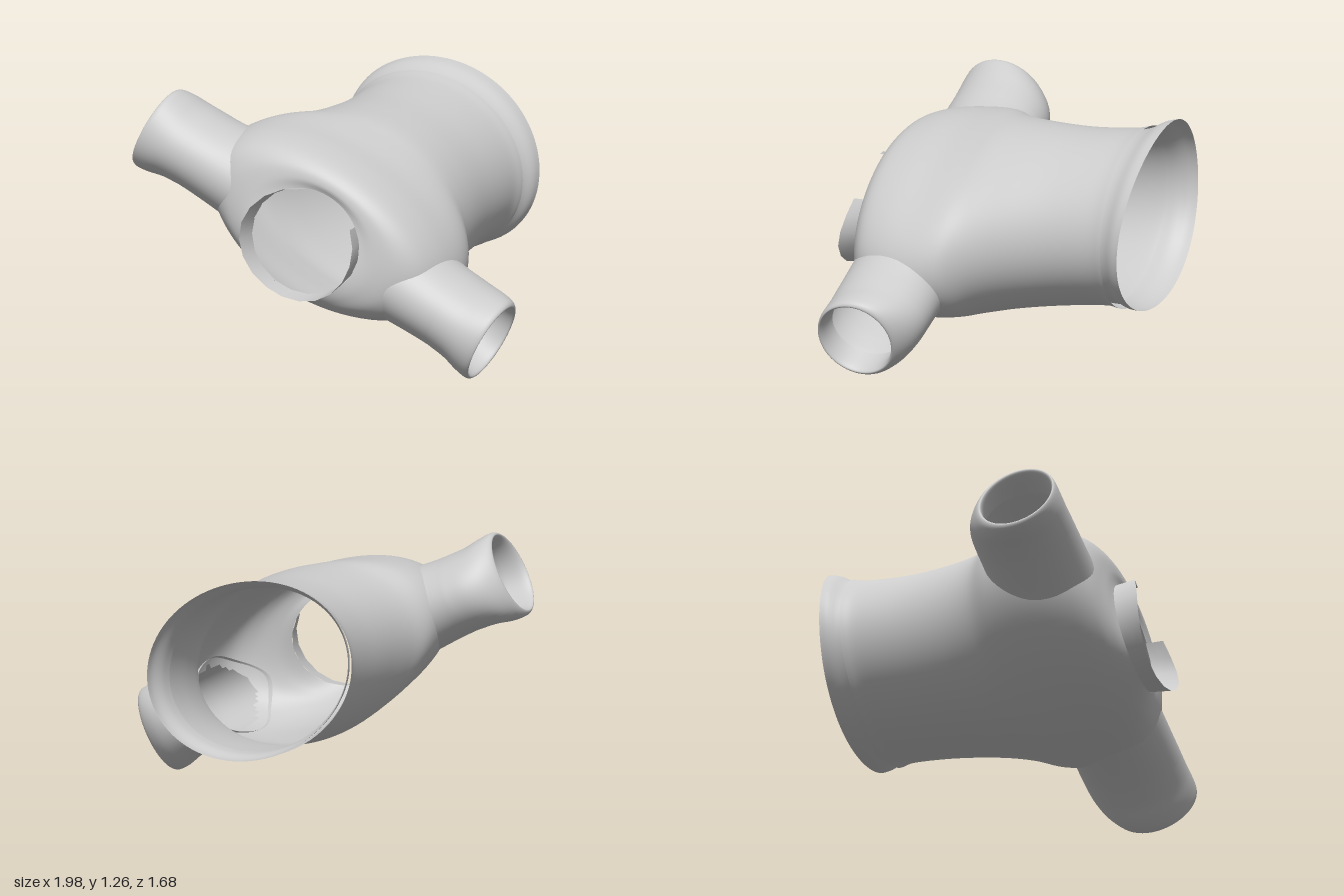
import * as THREE from 'three';

const TILT = 0.455; // the garment rolls about z: u runs along the sleeves, v across them
const C = Math.cos(TILT), S = Math.sin(TILT);
const place = (u, v, z) => new THREE.Vector3(u * C + v * S, 0.64 - u * S + v * C, z);

// Smoothly resample rows of cross-section numbers
function resample(keys, count) {
  const size = keys[0].length;
  const spline = new THREE.CubicInterpolant(keys.map((_, i) => i), keys.flat(), size, new Float32Array(size));
  return Array.from({ length: count + 1 }, (_, i) =>
    Array.from(spline.evaluate((i / count) * (keys.length - 1))));
}

// Surface through rings of points; skip(a, b, c) may leave out triangles
function skin(name, rings, closed, skip = () => false) {
  const n = rings[0].length, index = [], flat = rings.flat();
  const add = (...t) => { if (!skip(...t.map((k) => flat[k]))) index.push(...t); };
  for (let i = 0; i < rings.length - 1; i++) {
    for (let j = 0; j < (closed ? n : n - 1); j++) {
      const a = i * n + j, b = i * n + (j + 1) % n;
      add(a, b, a + n);
      add(b, b + n, a + n);
    }
  }
  const g = new THREE.BufferGeometry().setFromPoints(flat);
  g.setIndex(index);
  g.computeVertexNormals();
  const m = new THREE.Mesh(g, new THREE.MeshStandardMaterial({
    color: 0xcccccc, roughness: 0.9, side: THREE.DoubleSide }));
  m.name = name;
  return m;
}

const angles = (n, from = 0, span = Math.PI * 2) =>
  Array.from({ length: n }, (_, j) => from + (j / n) * span);

// Torso sections: z, half width u, half depth v, centre v, slant of z over v
const TORSO = resample([
  [-0.67, 0.495, 0.42, 0.115, -0.02],
  [-0.58, 0.48, 0.405, 0.11, -0.01],
  [-0.35, 0.485, 0.405, 0.09, 0],
  [-0.12, 0.52, 0.415, 0.075, 0],
  [0.04, 0.57, 0.42, 0.062, 0],
  [0.16, 0.65, 0.405, 0.055, 0],
  [0.3, 0.68, 0.385, 0.05, 0],
  [0.46, 0.66, 0.37, 0.05, 0],
  [0.58, 0.60, 0.345, 0.05, 0],
  [0.65, 0.50, 0.31, 0.045, -0.01],
  [0.685, 0.38, 0.275, 0.035, -0.025],
  [0.70, 0.285, 0.245, 0.03, -0.05],
], 66);

// Half width of the torso at a given depth and height
function torsoWidth(z, v) {
  const i = Math.max(1, TORSO.findIndex((r) => r[0] >= z));
  const p = TORSO[i - 1], q = TORSO[i], t = (z - p[0]) / (q[0] - p[0]);
  const mix = (k) => p[k] + (q[k] - p[k]) * t;
  const h = (v - mix(3)) / mix(2);
  return mix(1) * Math.sqrt(Math.max(0.3, 1 - h * h));
}

const ovalRing = ([z, a, b, cv, slant], list) => list.map((t) =>
  place(a * Math.cos(t), cv + b * Math.sin(t), z + slant * Math.sin(t)));

// True where the torso wall is covered by a sleeve and must be open
function inSleeve(p) {
  const u = p.x * C - (p.y - 0.64) * S, v = p.x * S + (p.y - 0.64) * C;
  return Math.abs(u) > 0.4 && ((p.z - 0.41) / 0.25) ** 2 + ((v - 0.01) / 0.2) ** 2 < 0.85;
}

// Sleeve sections: u, centre z, half size z, half size v, centre v
const SLEEVE = resample([
  [0.74, 0.41, 0.255, 0.195, 0.01],
  [0.84, 0.415, 0.25, 0.2, 0.005],
  [0.92, 0.43, 0.235, 0.215, 0],
  [0.98, 0.45, 0.21, 0.218, 0],
  [1.0, 0.46, 0.19, 0.2, 0],
  [0.97, 0.455, 0.18, 0.185, 0],
  [0.88, 0.44, 0.185, 0.17, 0],
], 36);

function sleeve(side) {
  const list = angles(56);
  const ring = ([u, cz, rz, rv, cv], shift) => list.map((t) => {
    const z = cz + rz * Math.cos(t), v = cv - side * rv * Math.sin(t);
    const root = torsoWidth(z, v) - 0.015;
    return place(side * (shift === undefined ? u : root + (u - root) * shift), v, z);
  });
  const rings = [];
  // Armhole fits the torso, then blends out to the first straight section
  for (let i = 0; i < 8; i++) rings.push(ring([0.74, 0.41, 0.255, 0.195 + 0.012 * (1 - i / 8) ** 2, 0.01], i / 8));
  SLEEVE.forEach((r) => rings.push(ring(r)));
  return skin(side > 0 ? 'leftSleeve' : 'rightSleeve', rings, true);
}

export function createModel() {
  const group = new THREE.Group();
  group.name = 'shirt';

  // Torso, open at hem, neck and armholes
  const round = angles(96);
  group.add(skin('torso', TORSO.map((r) => ovalRing(r, round)), true,
    (a, b, c) => inSleeve(a) && inSleeve(b) && inSleeve(c)));

  group.add(sleeve(1), sleeve(-1));

  // Flared hem band with a wavy free edge
  const hem = resample([
    [-0.77, 0.525, 0.435, 0.14, -0.03],
    [-0.73, 0.515, 0.428, 0.135, -0.025],
    [-0.68, 0.485, 0.405, 0.125, -0.02],
    [-0.62, 0.47, 0.395, 0.115, -0.015],
  ], 10).map((r, i) => ovalRing(r, round).map((p, j) => {
    p.z -= 0.035 * (1 - i / 10) * Math.sin(round[j]) ** 2;
    return p;
  }));
  group.add(skin('hemBand', hem, true));

  // Stand-up collar, open at the upper side, rising towards its sides
  const arc = angles(17, Math.PI * 0.64, Math.PI * 1.74);
  const collar = [0, 0.5, 1].map((k) => arc.map((t) => {
    const s = Math.sin(t), rise = 0.095 + 0.035 * Math.cos(t) ** 2;
    return place((0.285 + 0.012 * k) * Math.cos(t), 0.03 + (0.245 + 0.012 * k) * s,
      0.695 - 0.05 * s + k * rise - 0.03 * k * Math.max(0, s));
  }));
  group.add(skin('collar', collar, false));

  return group;
}
